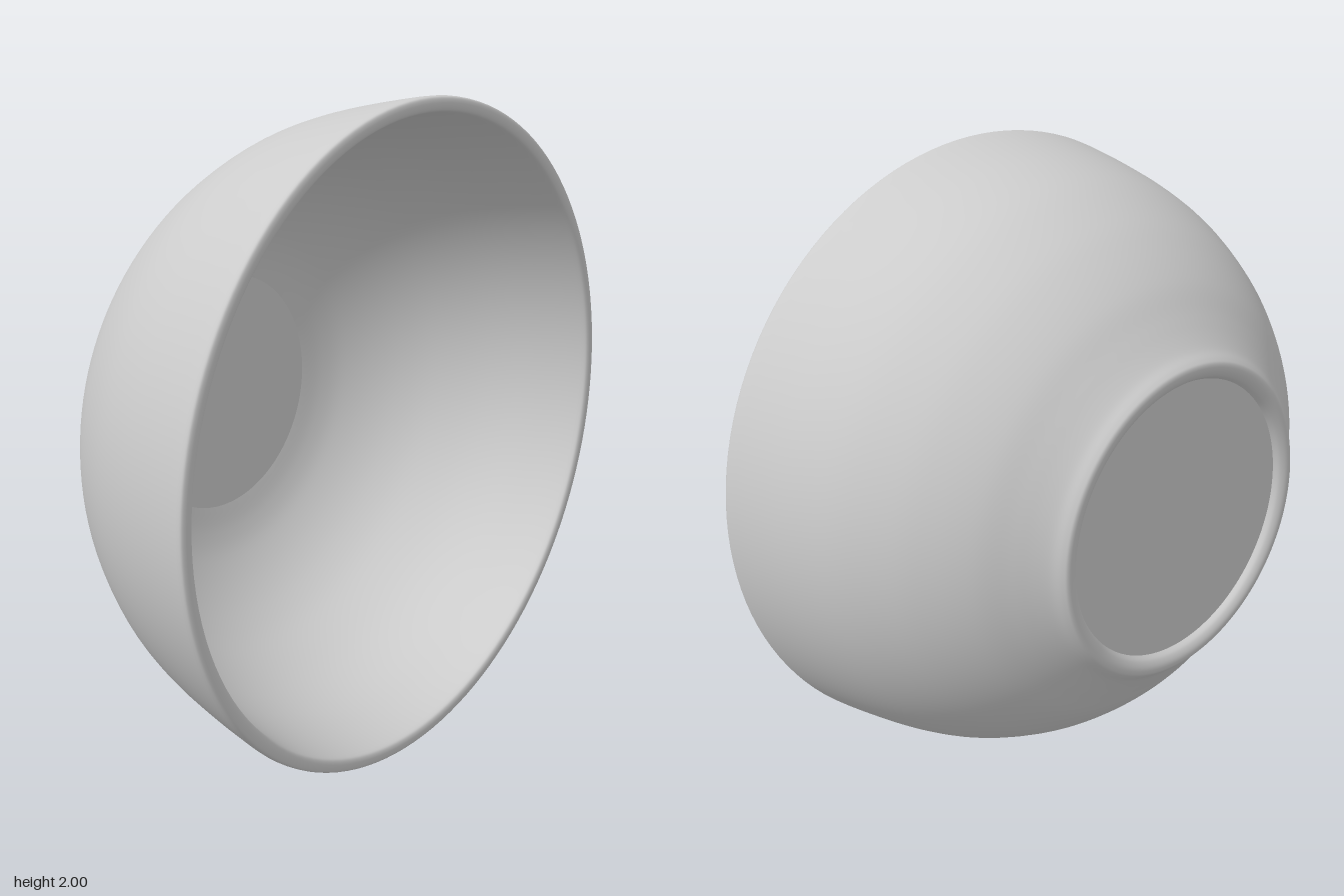
import * as THREE from 'three';

const SEGMENTS = 128;

// Smooth curve through a few [radius, depth] points
const smooth = (points, steps) =>
  new THREE.SplineCurve(points.map(([r, z]) => new THREE.Vector2(r, z))).getPoints(steps);

export function createModel() {
  const bowl = new THREE.Group();
  bowl.name = 'bowl';
  const ceramic = new THREE.MeshStandardMaterial({ color: 0xcccccc });
  ceramic.name = 'light grey ceramic';

  // Spin a profile around the z axis, with the opening towards +z
  function addTurned(name, profile) {
    const geometry = new THREE.LatheGeometry(profile, SEGMENTS);
    geometry.rotateX(Math.PI / 2);
    const mesh = new THREE.Mesh(geometry, ceramic);
    mesh.name = name;
    mesh.position.y = 1;
    bowl.add(mesh);
  }

  // Recessed panel under the foot
  addTurned('footPanel', [new THREE.Vector2(0, -0.415), new THREE.Vector2(0.43, -0.415)]);

  // Rounded foot ring, outer wall, rolled rim and inner wall in one sweep
  addTurned('wall', [
    ...smooth([[0.43, -0.415], [0.441, -0.432], [0.46, -0.442], [0.48, -0.442], [0.493, -0.432],
      [0.515, -0.407], [0.55, -0.378], [0.6, -0.341], [0.68, -0.281], [0.76, -0.2], [0.83, -0.108],
      [0.9, 0.02], [0.945, 0.15], [0.977, 0.29], [0.997, 0.4]], 84),
    ...smooth([[1, 0.423], [0.997, 0.437], [0.985, 0.442], [0.97, 0.442], [0.958, 0.436], [0.953, 0.42]], 20),
    ...smooth([[0.95, 0.4], [0.932, 0.29], [0.9, 0.15], [0.856, 0.03], [0.79, -0.09], [0.72, -0.178],
      [0.64, -0.249], [0.55, -0.306], [0.47, -0.338], [0.39, -0.357]], 50),
  ]);

  // Flat floor inside
  addTurned('floor', [new THREE.Vector2(0.39, -0.357), new THREE.Vector2(0, -0.357)]);

  return bowl;
}
